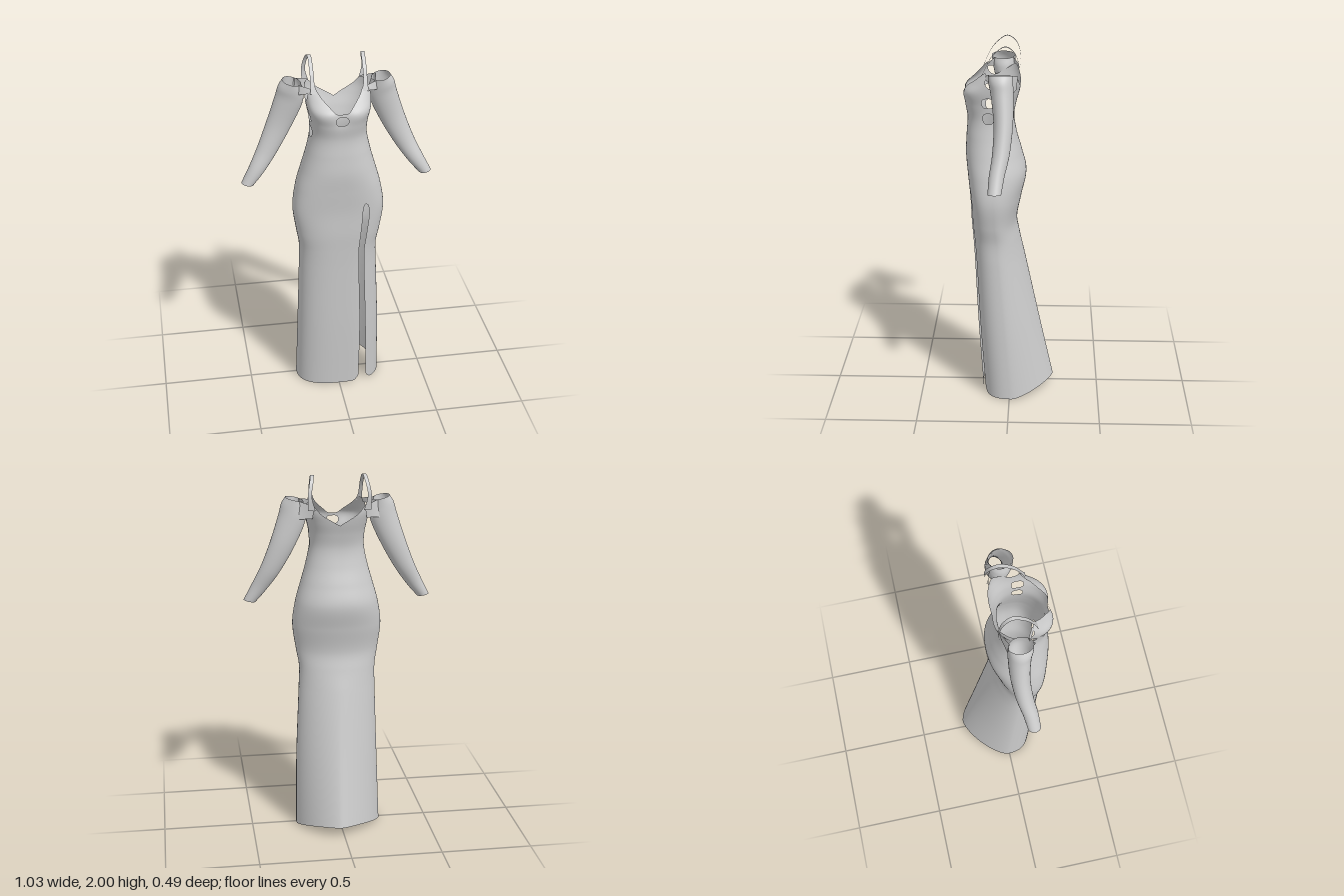
import * as THREE from 'three';
import { mergeVertices } from 'three/addons/utils/BufferGeometryUtils.js';

const cloth = new THREE.MeshStandardMaterial({ color: 0xcccccc, side: THREE.DoubleSide });

// Smooth interpolation of column c in a table whose first column is the key
function sample(table, key, c) {
  const n = table.length;
  const k = Math.min(Math.max(key, table[0][0]), table[n - 1][0]);
  let i = 0;
  while (i < n - 2 && k > table[i + 1][0]) i++;
  const slope = (j) => {
    const a = table[Math.max(j - 1, 0)], b = table[Math.min(j + 1, n - 1)];
    return (b[c] - a[c]) / (b[0] - a[0]);
  };
  const h = table[i + 1][0] - table[i][0], t = (k - table[i][0]) / h;
  const t2 = t * t, t3 = t2 * t;
  return (2 * t3 - 3 * t2 + 1) * table[i][c] + (t3 - 2 * t2 + t) * h * slope(i)
    + (3 * t2 - 2 * t3) * table[i + 1][c] + (t3 - t2) * h * slope(i + 1);
}

// Grid surface from point(u, v) -> [x, y, z]; cells for which skip() holds are left out
function surface(name, nu, nv, point, skip = () => false) {
  const pos = [], index = [];
  for (let j = 0; j <= nv; j++)
    for (let i = 0; i <= nu; i++) pos.push(...point(i / nu, j / nv));
  for (let j = 0; j < nv; j++) {
    for (let i = 0; i < nu; i++) {
      if (skip(i / nu, j / nv, (i + 1) / nu, (j + 1) / nv)) continue;
      const a = j * (nu + 1) + i, b = a + 1, c = a + nu + 1, d = c + 1;
      index.push(a, b, d, a, d, c);
    }
  }
  let geo = new THREE.BufferGeometry();
  geo.setAttribute('position', new THREE.Float32BufferAttribute(pos, 3));
  geo.setIndex(index);
  geo = mergeVertices(geo, 1e-5);
  geo.computeVertexNormals();
  const mesh = new THREE.Mesh(geo, cloth);
  mesh.name = name;
  return mesh;
}

// Gown sections: y, half width, front z, back z, side z, front squareness, back squareness, x shift
const BODY = [
  [0.00, 0.240, 0.155, -0.258, -0.010, 2.6, 1.5, 0.008],
  [0.40, 0.230, 0.180, -0.168, 0.025, 2.6, 1.6, 0.008],
  [0.80, 0.215, 0.198, -0.080, 0.060, 2.6, 1.8, 0.002],
  [0.92, 0.213, 0.205, -0.052, 0.070, 2.7, 2.0, 0],
  [1.02, 0.229, 0.212, -0.037, 0.080, 2.8, 2.0, 0],
  [1.16, 0.246, 0.217, -0.062, 0.085, 3.0, 2.1, 0],
  [1.29, 0.228, 0.230, -0.087, 0.085, 2.8, 2.2, 0],
  [1.40, 0.198, 0.240, -0.063, 0.085, 2.5, 2.2, 0],
  [1.50, 0.170, 0.236, -0.035, 0.090, 2.4, 2.3, 0],
  [1.60, 0.150, 0.230, -0.020, 0.090, 2.4, 2.4, 0],
  [1.68, 0.152, 0.243, -0.033, 0.090, 2.7, 2.5, 0],
  [1.75, 0.165, 0.250, -0.052, 0.088, 3.0, 2.7, 0],
  [1.80, 0.170, 0.200, -0.060, 0.080, 3.0, 3.0, 0],
  [1.86, 0.172, 0.140, -0.055, 0.055, 3.0, 3.0, 0],
];

// Neckline and armhole height by angle from the front centre to the back centre
const TOP = [
  [0, 1.75], [0.18, 1.755], [0.36, 1.785], [0.55, 1.82], [0.7, 1.853], [0.85, 1.853],
  [1.0, 1.835], [1.25, 1.795], [1.57, 1.78], [2.0, 1.82], [2.3, 1.845], [2.6, 1.795], [3.142, 1.735],
];

// Cut-outs: centre angle, centre y, half angle, half height
const HOLES = [[0, 1.712, 0.2, 0.023]];
for (const s of [1, -1])
  HOLES.push([s * 1.42, 1.70, 0.2, 0.027], [s * 1.42, 1.615, 0.2, 0.028]);

const wrap = (t) => Math.atan2(Math.sin(t), Math.cos(t));
const holeDist = (h, t, y) =>
  Math.pow(Math.abs(wrap(t - h[0]) / h[2]) ** 3 + Math.abs((y - h[1]) / h[3]) ** 3, 1 / 3);

const SLIT = 0.53;   // angle of the leg slit
function slitHalf(y) {
  if (y >= 1.21) return 0;
  const base = 0.07 + 0.03 * Math.max(0, 1 - y / 0.6) ** 2;
  return y < 1.15 ? base : base * Math.sqrt(1 - ((y - 1.15) / 0.06) ** 2);
}

// Angle and height on the cloth for grid coordinates
function bodyCoord(u, v) {
  const turn = u * Math.PI * 2;
  const t0 = wrap(SLIT + turn);
  const corner = Math.max(0, 1 - Math.min(turn, Math.PI * 2 - turn) / 0.15);
  const low = 0.055 * Math.max(0, -Math.cos(t0)) + 0.035 * corner ** 2;
  const y = low + (sample(TOP, Math.abs(t0), 1) - low) * v;
  const half = slitHalf(y);
  return [SLIT + half + (Math.PI * 2 - 2 * half) * u, y];
}

function bodyPoint(u, v) {
  let [t, y] = bodyCoord(u, v);
  // Points inside a cut-out move out to its rim
  for (const h of HOLES) {
    const d = holeDist(h, t, y);
    if (d < 1 && d > 1e-4) {
      t = h[0] + wrap(t - h[0]) / d;
      y = h[1] + (y - h[1]) / d;
    }
  }
  const [w, zf, zb, zc, nf, nb, xc] = [1, 2, 3, 4, 5, 6, 7].map((c) => sample(BODY, y, c));
  const s = Math.sin(t), c = Math.cos(t), n = c > 0 ? nf : nb;
  const r = Math.pow(Math.abs(s) ** n + Math.abs(c) ** n, -1 / n);
  const x = w * r * s;
  let z = zc + r * c * (c > 0 ? zf - zc : zc - zb);
  // Hollow between the bust cups
  if (c > 0) z -= 0.015 * Math.exp(-((x / 0.045) ** 2) - ((y - 1.74) / 0.05) ** 2);
  return [x + xc + 0.012 * Math.max(0, -c) * Math.max(0, 1 - y / 0.8), y, z];
}

function inHole(u0, v0, u1, v1) {
  const corners = [[u0, v0], [u1, v0], [u0, v1], [u1, v1]].map(([u, v]) => bodyCoord(u, v));
  return HOLES.some((h) => corners.every(([t, y]) => holeDist(h, t, y) < 1));
}

// Sleeve rings: step, outer x, outer y, inner x, inner y, middle z, half depth
const SLEEVE = [
  [0, 0.515, 1.318, 0.450, 1.305, 0.068, 0.035],
  [1, 0.470, 1.405, 0.390, 1.375, 0.058, 0.040],
  [2, 0.420, 1.510, 0.318, 1.475, 0.038, 0.045],
  [3, 0.368, 1.645, 0.240, 1.610, 0.028, 0.050],
  [4, 0.322, 1.785, 0.180, 1.740, 0.035, 0.058],
  [5, 0.305, 1.845, 0.174, 1.810, 0.042, 0.063],
  [6, 0.282, 1.882, 0.186, 1.860, 0.045, 0.064],
];

function sleevePoint(u, v) {
  const [ox, oy, ix, iy, zc, d] = [1, 2, 3, 4, 5, 6].map((c) => sample(SLEEVE, v * 6, c));
  const a = -u * Math.PI * 2, k = 0.5 + 0.5 * Math.cos(a);
  return [ix + (ox - ix) * k, iy + (oy - iy) * k, zc + d * Math.sin(a)];
}

const STRAP = new THREE.CatmullRomCurve3([
  [0.132, 1.835, 0.150], [0.137, 1.88, 0.130], [0.138, 1.95, 0.090], [0.140, 1.9995, 0.022],
  [0.148, 1.97, -0.025], [0.160, 1.90, -0.050], [0.150, 1.82, -0.047],
].map((p) => new THREE.Vector3(...p)));

function strapPoint(u, v) {
  const p = STRAP.getPoint(v);
  const width = 0.02 + 0.025 * Math.max(0, 1 - v * 5) ** 2 + 0.02 * Math.max(0, v * 5 - 4) ** 2;
  return [p.x + (u - 0.5) * width, p.y, p.z];
}

// Bands joining sleeve to bodice: lower and upper edges, each from bodice to sleeve
const BRIDGES = {
  Front: [[0.150, 1.830, 0.128], [0.205, 1.815, 0.098], [0.143, 1.852, 0.120], [0.205, 1.864, 0.088]],
  Back: [[0.225, 1.770, -0.018], [0.145, 1.775, -0.035], [0.215, 1.866, -0.008], [0.135, 1.842, -0.043]],
};

export function createModel() {
  const group = new THREE.Group();
  group.name = 'gown';
  group.add(surface('gownBody', 180, 180, bodyPoint, inHole));

  for (const [side, sx] of [['left', 1], ['right', -1]]) {
    // Mirroring reverses u so that faces keep pointing outwards
    const mirrored = (fn) => (u, v) => {
      const [x, y, z] = fn(sx > 0 ? u : 1 - u, v);
      return [x * sx, y, z];
    };
    group.add(surface(side + 'Sleeve', 40, 48, mirrored(sleevePoint)));
    group.add(surface(side + 'Strap', 4, 48, mirrored(strapPoint)));
    for (const [end, [a, b, c, d]] of Object.entries(BRIDGES)) {
      const patch = (u, v) => a.map((_, k) =>
        (a[k] * (1 - u) + b[k] * u) * (1 - v) + (c[k] * (1 - u) + d[k] * u) * v);
      group.add(surface(side + 'Shoulder' + end, 6, 4, mirrored(patch)));
    }
  }
  return group;
}
